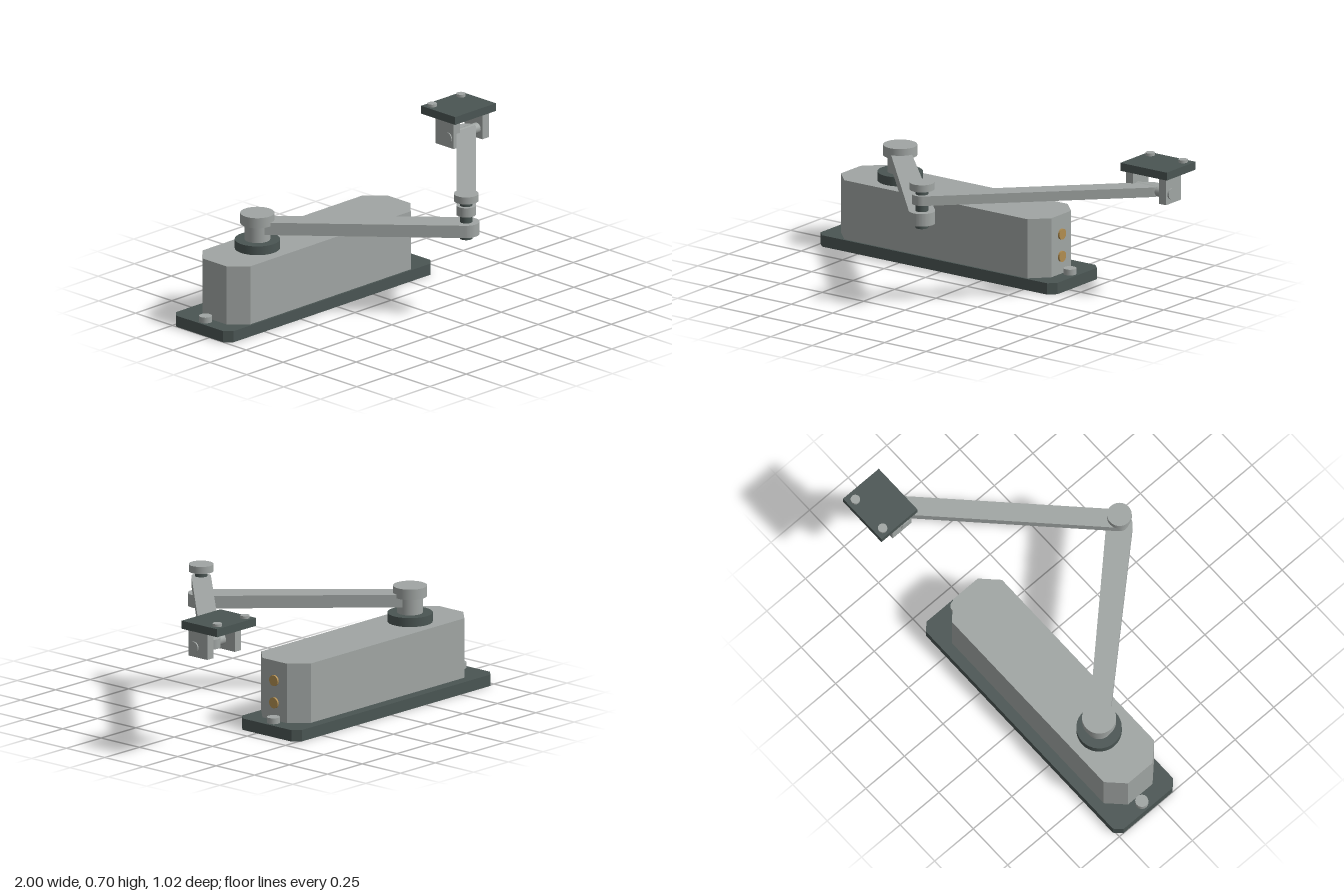
import * as THREE from 'three';

export function createModel() {
  const model = new THREE.Group();
  model.name = 'doorCloser';

  const mat = (name, color) => {
    const m = new THREE.MeshStandardMaterial({ color });
    m.name = name;
    return m;
  };
  const silver = mat('silver grey', 0xa0a5a3);
  const dark = mat('dark slate', 0x4a5553);
  const brass = mat('brass', 0xb08d50);

  const add = (name, geometry, material, x = 0, y = 0, z = 0) => {
    const mesh = new THREE.Mesh(geometry, material);
    mesh.name = name;
    mesh.position.set(x, y, z);
    model.add(mesh);
    return mesh;
  };

  // Upright cylinder between two heights
  const disc = (name, material, x, z, r, y0, y1, sides = 32) =>
    add(name, new THREE.CylinderGeometry(r, r, y1 - y0, sides), material, x, (y0 + y1) / 2, z);

  // Cylinder along x
  const crossDisc = (name, material, x0, x1, y, z, r) => {
    const g = new THREE.CylinderGeometry(r, r, x1 - x0, 24).rotateZ(Math.PI / 2);
    return add(name, g, material, (x0 + x1) / 2, y, z);
  };

  // Footprint drawn in x and -z, raised from y0 to y1
  const slab = (name, material, shape, x, z, y0, y1) => {
    const g = new THREE.ExtrudeGeometry(shape, { depth: y1 - y0, bevelEnabled: false, curveSegments: 14 });
    return add(name, g.rotateX(-Math.PI / 2), material, x, y0, z);
  };

  // Rectangle with cut corners
  const cutRect = (w, d, c) => {
    const a = w / 2, b = d / 2;
    return new THREE.Shape([
      [-a + c, -b], [a - c, -b], [a, -b + c], [a, b - c],
      [a - c, b], [-a + c, b], [-a, b - c], [-a, -b + c],
    ].map(([x, y]) => new THREE.Vector2(x, y)));
  };

  // Tapered bar with round ends, from one pivot to the next
  const arm = (name, from, to, r0, r1, y0, y1) => {
    const dx = to[0] - from[0], dz = to[1] - from[1];
    const length = Math.hypot(dx, dz);
    const t = Math.acos((r0 - r1) / length);
    const s = new THREE.Shape();
    s.absarc(0, 0, r0, t, 2 * Math.PI - t, false);
    s.absarc(length, 0, r1, -t, t, false);
    s.closePath();
    slab(name, silver, s, from[0], from[1], y0, y1).rotation.y = Math.atan2(-dz, dx);
  };

  // Base plate and housing
  slab('basePlate', dark, cutRect(1.43, 0.39, 0.036), -0.285, -0.315, 0, 0.057);
  slab('housing', silver, cutRect(1.27, 0.325, 0.083), -0.285, -0.293, 0.057, 0.355);
  for (const x of [-0.958, 0.385]) disc('baseScrew', silver, x, -0.317, 0.032, 0.057, 0.086, 16);

  // Adjustment valves on the end of the housing
  for (const y of [0.145, 0.257]) crossDisc('adjustmentValve', brass, 0.345, 0.36, y, -0.293, 0.027);

  // Spindle
  const spindle = [-0.623, -0.295], elbow = [0.062, 0.447], shoe = [0.86, -0.338];
  disc('spindleCollar', dark, ...spindle, 0.11, 0.355, 0.4);
  disc('spindle', silver, ...spindle, 0.0625, 0.4, 0.485);
  disc('spindleCap', silver, ...spindle, 0.083, 0.483, 0.535);

  // Two arms joined at the elbow
  arm('mainArm', spindle, elbow, 0.05, 0.064, 0.438, 0.501);
  arm('forearm', elbow, shoe, 0.0475, 0.0475, 0.537, 0.585);
  disc('elbowPin', dark, ...elbow, 0.031, 0.415, 0.61);
  disc('elbowCap', silver, ...elbow, 0.06, 0.609, 0.645);

  // Shoe bracket: plate, lugs, cross pin and screws
  add('bracketPlate', new THREE.BoxGeometry(0.28, 0.04, 0.232), dark, 0.86, 0.666, -0.391);
  for (const x of [0.757, 0.955]) {
    add('bracketLug', new THREE.BoxGeometry(0.044, 0.135, 0.122), silver, x, 0.579, -0.361);
    disc('bracketScrew', silver, x, -0.467, 0.023, 0.685, 0.7, 16);
  }
  crossDisc('bracketPin', silver, 0.73, 0.985, 0.561, -0.338, 0.027);

  return model;
}
